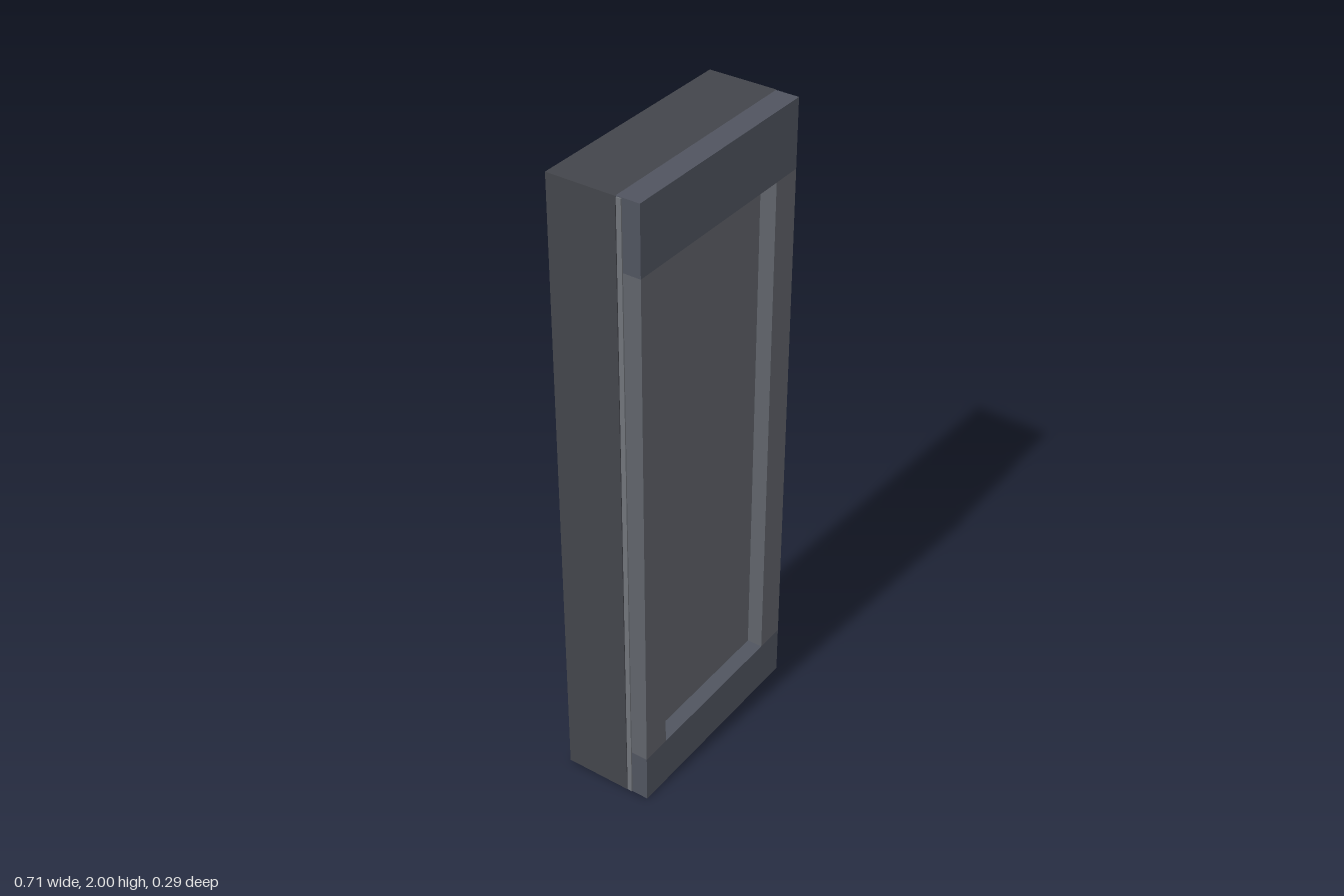
import * as THREE from 'three';

const material = (color) => new THREE.MeshStandardMaterial({ color });
const bodyMat = material(0x43454b);
const railMat = material(0x50545f);
const doorMat = material(0x60636a);
const trimMat = material(0x70747a);

// Box given by its minimum and maximum corners
function box(name, mat, [x0, y0, z0], [x1, y1, z1]) {
  const mesh = new THREE.Mesh(new THREE.BoxGeometry(x1 - x0, y1 - y0, z1 - z0), mat);
  mesh.name = name;
  mesh.position.set((x0 + x1) / 2, (y0 + y1) / 2, (z0 + z1) / 2);
  return mesh;
}

export function createModel() {
  const group = new THREE.Group();
  group.name = 'cabinet';

  const back = -0.143, seam = 0.07, front = 0.142;
  const bodyX = 0.356, doorX = 0.353, stileX = 0.257;
  const railLow = 0.16, railHigh = 1.79, top = 2;

  // Main housing
  group.add(box('body', bodyMat, [-bodyX, 0, back], [bodyX, top, seam]));

  // Front frame: top and bottom rails
  group.add(box('bottomRail', railMat, [-doorX, 0, seam], [doorX, railLow, front]));
  group.add(box('topRail', railMat, [-doorX, railHigh, seam], [doorX, top, front]));

  // Recessed door panel
  group.add(box('panel', doorMat, [-stileX, railLow, seam], [stileX, railHigh, 0.092]));

  for (const [side, s] of [['left', 1], ['right', -1]]) {
    // Upright stile beside the panel
    const xs = [s * stileX, s * doorX].sort((a, b) => a - b);
    group.add(box(side + 'Stile', doorMat, [xs[0], railLow, seam], [xs[1], railHigh, front]));

    // Thin trim strip along the side seam
    const ts = [s * (doorX - 0.003), s * 0.357].sort((a, b) => a - b);
    group.add(box(side + 'Trim', trimMat, [ts[0], 0.002, 0.073], [ts[1], top - 0.002, 0.088]));
  }
  return group;
}
